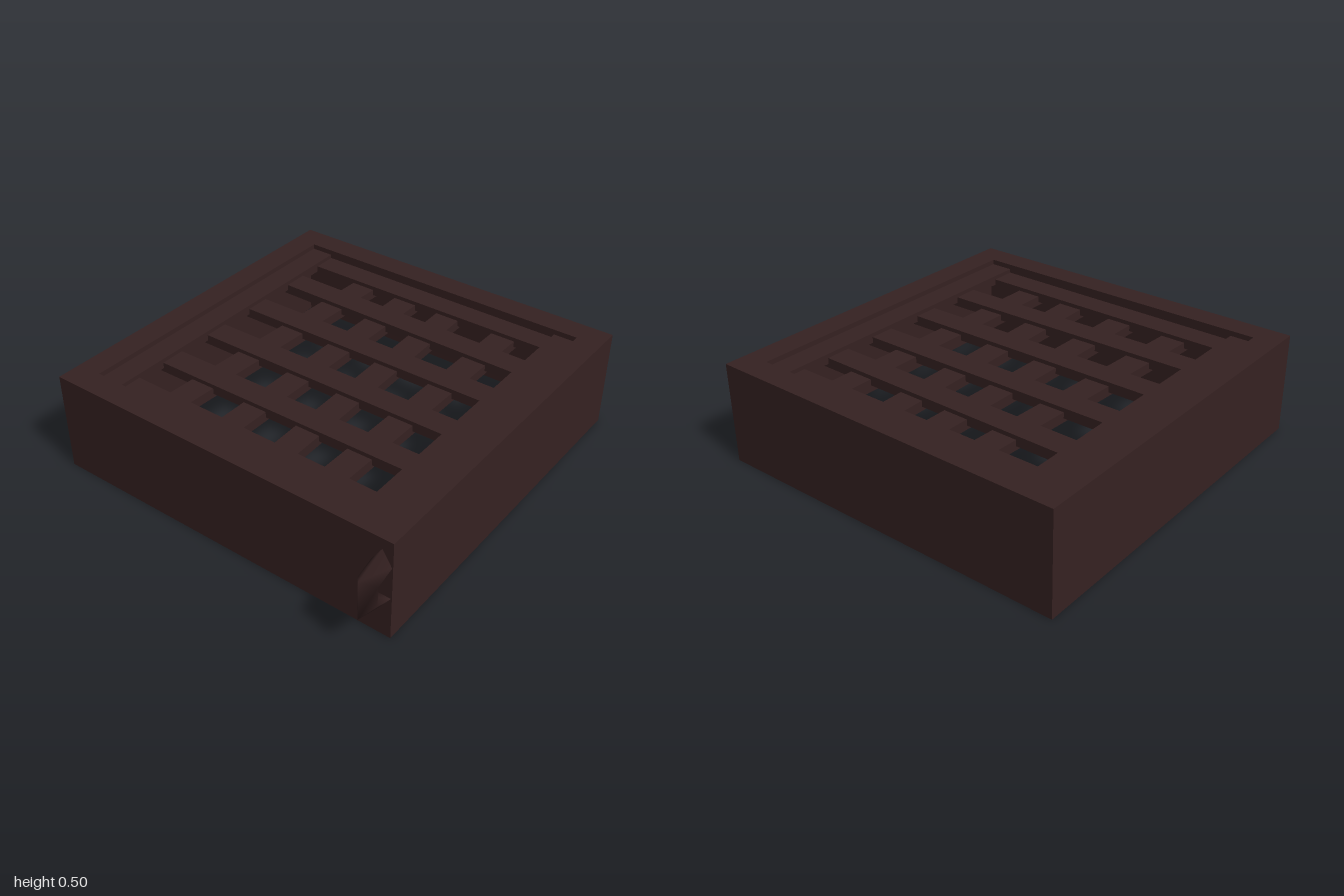
import * as THREE from 'three';
import { mergeVertices } from 'three/addons/utils/BufferGeometryUtils.js';

const darkWood = new THREE.MeshStandardMaterial({ color: 0x352121, side: THREE.DoubleSide });
darkWood.name = 'darkWood';

const TOP = 0.505, MID_Z = -0.0775, OUTER = 0.9225, INNER = 0.796;

function add(parent, name, geometry) {
  const mesh = new THREE.Mesh(geometry, darkWood);
  mesh.name = name;
  parent.add(mesh);
  return mesh;
}

// Four thin upright sheets around a square; facing +1 outward, -1 inward
function sheets(parent, name, half, y0, y1, facing) {
  for (let i = 0; i < 4; i++) {
    const a = i * Math.PI / 2;
    const m = add(parent, name, new THREE.PlaneGeometry(half * 2, y1 - y0));
    m.position.set(Math.sin(a) * half, (y0 + y1) / 2, MID_Z + Math.cos(a) * half);
    m.rotation.y = facing > 0 ? a : a + Math.PI;
  }
}

// Slat between two points in plan
function slat(parent, name, x0, z0, x1, z1, width, top, thick) {
  const dx = x1 - x0, dz = z1 - z0;
  const m = add(parent, name, new THREE.BoxGeometry(Math.hypot(dx, dz), thick, width));
  m.position.set((x0 + x1) / 2, top - thick / 2, (z0 + z1) / 2);
  m.rotation.y = Math.atan2(-dz, dx);
}

// Triangular bar swept along a trapezoid, ridge outward, smoothly shaded
function handleGeometry() {
  const ridge = [[0.455, 0.84], [0.4, 1], [0.2, 1], [0.145, 0.84]];
  const inside = [[0.38, 0.84], [0.35, 0.936], [0.25, 0.936], [0.215, 0.84]];
  const ring = k => [
    [0, ...ridge[k]],
    [0.048, ...inside[k]],
    [-0.048, ...inside[k]],
  ];
  const pos = [];
  for (let k = 0; k < 3; k++) {
    const a = ring(k), b = ring(k + 1);
    for (let j = 0; j < 3; j++) {
      const n = (j + 1) % 3;
      pos.push(...a[j], ...b[j], ...a[n], ...a[n], ...b[j], ...b[n]);
    }
  }
  const soup = new THREE.BufferGeometry();
  soup.setAttribute('position', new THREE.Float32BufferAttribute(pos, 3));
  const g = mergeVertices(soup);
  g.computeVertexNormals();
  return g;
}

export function createModel() {
  const model = new THREE.Group();
  model.name = 'gratedHatch';

  // Open-bottomed box with a flat rim and an inner lip
  const box = new THREE.Group();
  box.name = 'box';
  model.add(box);
  sheets(box, 'wall', OUTER, 0, TOP, 1);
  sheets(box, 'rimLip', INNER, 0.43, TOP, -1);
  const square = (s, path) => path.moveTo(-s, -s).lineTo(s, -s).lineTo(s, s).lineTo(-s, s).closePath();
  const rim = square(OUTER, new THREE.Shape());
  rim.holes.push(square(INNER, new THREE.Path()));
  const rimMesh = add(box, 'rim', new THREE.ShapeGeometry(rim));
  rimMesh.rotation.x = -Math.PI / 2;
  rimMesh.position.set(0, TOP, MID_Z);

  // Lattice: side rails on top, cross slats, and long slats set a little lower
  const grate = new THREE.Group();
  grate.name = 'grate';
  model.add(grate);
  for (const s of [-1, 1]) {
    slat(grate, 'sideRail', s * 0.737, -0.872, s * 0.737, 0.717, 0.118, 0.48, 0.05);
  }
  // z at the right end, z at the left end (-x to +x)
  const cross = [[-0.815, -0.82], [-0.562, -0.55], [-0.252, -0.265],
    [0.06, 0.047], [0.368, 0.347], [0.648, 0.655]];
  for (const [z0, z1] of cross) slat(grate, 'crossSlat', -0.79, z0, 0.79, z1, 0.126, 0.46, 0.05);
  // x at the back end, x at the front end
  const long = [[-0.37, -0.446], [-0.111, -0.126], [0.14, 0.181], [0.465, 0.447]];
  for (const [x0, x1] of long) slat(grate, 'longSlat', x0, -0.86, x1, 0.7, 0.127, 0.44, 0.05);

  // Handle at the front left edge
  add(model, 'handle', handleGeometry()).position.x = 0.87;
  return model;
}
